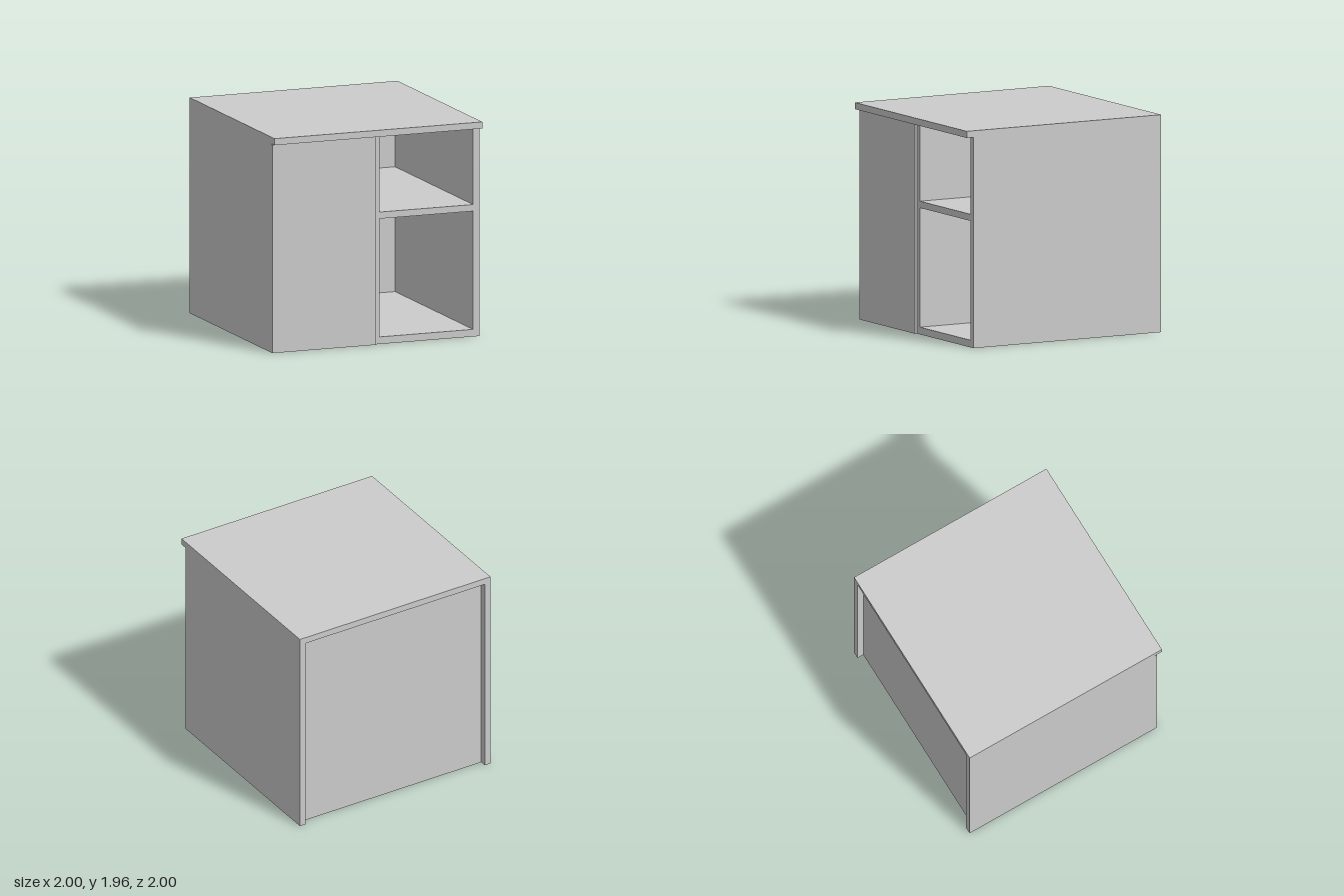
import * as THREE from 'three';

const material = new THREE.MeshStandardMaterial({ color: 0xcccccc });

// Box given by its minimum and maximum corners
function panel(name, [x0, y0, z0], [x1, y1, z1]) {
  const geometry = new THREE.BoxGeometry(x1 - x0, y1 - y0, z1 - z0);
  geometry.translate((x0 + x1) / 2, (y0 + y1) / 2, (z0 + z1) / 2);
  const mesh = new THREE.Mesh(geometry, material);
  mesh.name = name;
  return mesh;
}

export function createModel() {
  const cabinet = new THREE.Group();
  cabinet.name = 'cabinet';

  const front = 0.93;   // front edge of the carcass
  const back = -0.94;   // rear face of the recessed back panel
  const inner = 0.94;   // inside face of the side panels
  const under = 1.9;    // underside of the top

  cabinet.add(
    // Top board overhangs the front
    panel('top', [-1, under, -1], [1, 1.96, 1]),
    // Carcass
    panel('leftSide', [inner, 0, -1], [1, under, front]),
    panel('rightSide', [-1, 0, -1], [-inner, under, front]),
    panel('floor', [-inner, 0, back], [inner, 0.065, front]),
    panel('backPanel', [-inner, 0.065, back], [inner, under, back + 0.03]),
    // Divider and the shelf in the open bay
    panel('divider', [-0.04, 0.065, back + 0.03], [0.04, under, front]),
    panel('shelf', [0.04, 1.14, back + 0.03], [inner, 1.2, front]),
    // Flat door over the closed bay
    panel('door', [-1, 0, front], [-0.01, 1.89, 0.95])
  );
  return cabinet;
}
